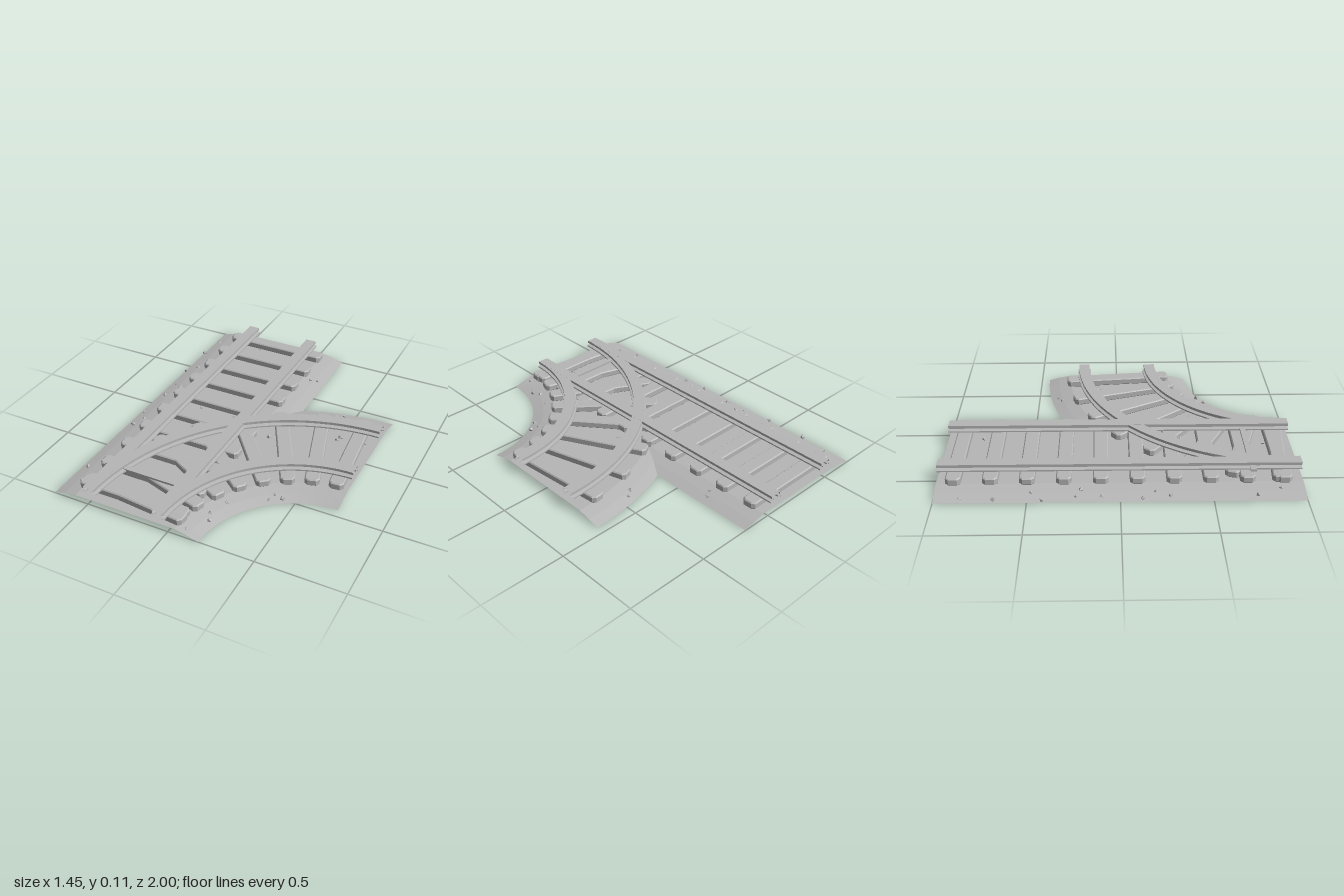
import * as THREE from 'three';

const BEND = { x: 0.73, z: 1, r: 1 };   // centre and radius of the branch curve
const AXIS = -0.27;                     // centre line of the straight track
const GAUGE = 0.215;                    // rail offset from the centre line

// Paths: s runs 0..1 along the track, t is the offset to the right
const straight = (s, t) => [AXIS + t, 1 - 2 * s];
const curved = (s, t) => {
  const a = (1 - s) * Math.PI / 2, r = BEND.r - t;
  return [BEND.x - r * Math.sin(a), BEND.z - r * Math.cos(a)];
};

// Sweeps a [offset, height] profile, creased across and smooth along the path
function sweep(profile, path, steps, shift = 0, lift = 0) {
  const pos = [], index = [];
  for (let p = 0; p < profile.length - 1; p++) {
    const base = pos.length / 3;
    for (let i = 0; i <= steps; i++) {
      for (const [t, y] of [profile[p], profile[p + 1]]) {
        const [x, z] = path(i / steps, t + shift);
        pos.push(x, y + lift, z);
      }
    }
    for (let i = 0; i < steps; i++) {
      const a = base + i * 2;
      index.push(a, a + 1, a + 3, a, a + 3, a + 2);
    }
  }
  const g = new THREE.BufferGeometry();
  g.setAttribute('position', new THREE.Float32BufferAttribute(pos, 3));
  g.setIndex(index);
  g.computeVertexNormals();
  return g;
}

// Sleeper: plan with clipped corners, bevelled top and bottom, lying along x
function sleeperGeometry() {
  const w = 0.325, d = 0.036, c = 0.014;
  const plan = new THREE.Shape([
    [-w + c, -d], [w - c, -d], [w, -d + c], [w, d - c],
    [w - c, d], [-w + c, d], [-w, d - c], [-w, -d + c],
  ].map(([x, y]) => new THREE.Vector2(x, y)));
  const g = new THREE.ExtrudeGeometry(plan, {
    depth: 0.03, bevelEnabled: true, bevelThickness: 0.006, bevelSize: 0.006, bevelSegments: 1,
  });
  return g.rotateX(-Math.PI / 2).translate(0, 0.04, 0);
}

const BED = [[-0.45, 0.002], [-0.385, 0.02], [-0.31, 0.035], [0.31, 0.035], [0.385, 0.02], [0.45, 0.002]];
const RAIL = [
  [-0.042, 0.076], [-0.042, 0.084], [-0.018, 0.088], [-0.018, 0.096], [-0.034, 0.1], [-0.034, 0.115],
  [0.034, 0.115], [0.034, 0.1], [0.018, 0.096], [0.018, 0.088], [0.042, 0.084], [0.042, 0.076], [-0.042, 0.076],
];

// Loose stones as [x, z]
const STONES = [
  [-0.69, -0.86], [-0.71, -0.68], [-0.65, -0.48], [-0.71, -0.42], [-0.68, -0.24], [-0.63, -0.21],
  [-0.68, -0.1], [-0.7, 0.12], [-0.65, 0.19], [-0.68, 0.27], [-0.68, 0.74], [-0.63, 0.87],
  [-0.37, -0.85], [-0.11, -0.79], [0.09, -0.66], [0.13, -0.68], [-0.38, -0.04], [0.13, 0.05],
  [-0.12, 0.36], [-0.18, 0.84], [0.09, 0.96], [0.16, 0.84], [0.14, 0.79], [0.18, 0.68],
  [0.38, 0.5], [0.43, 0.51], [0.37, 0.55], [0.5, -0.1], [0.66, -0.14], [0.51, -0.13],
  [0.4, -0.35], [0.44, -0.38],
];

// Height of the bed at distance d from a centre line
function bedHeight(d) {
  return 0.035 * THREE.MathUtils.clamp((0.45 - Math.abs(d)) / 0.14, 0, 1);
}

export function createModel() {
  const model = new THREE.Group();
  const grey = new THREE.MeshStandardMaterial({ color: 0xb6b6b6, side: THREE.DoubleSide });
  grey.name = 'plain grey';

  const add = (name, geometry, parent = model) => {
    const mesh = new THREE.Mesh(geometry, grey);
    mesh.name = name;
    parent.add(mesh);
    return mesh;
  };

  // Ballast beds and rails
  add('straightBed', sweep(BED, straight, 1));
  add('branchBed', sweep(BED, curved, 32, 0, -0.0006));
  for (const side of [-1, 1]) {
    const label = side < 0 ? 'Outer' : 'Inner';
    add('straightRail' + label, sweep(RAIL, straight, 1, side * GAUGE));
    add('branchRail' + label, sweep(RAIL, curved, 32, side * GAUGE, -0.0004));
  }

  // Sleepers
  const sleepers = new THREE.Group();
  sleepers.name = 'sleepers';
  model.add(sleepers);
  const sleeper = sleeperGeometry();
  for (let i = 0; i < 10; i++) {
    add('straightSleeper', sleeper, sleepers).position.set(AXIS, 0, -0.905 + i * 0.2);
  }
  for (let i = 0; i < 8; i++) {
    const s = (i + 0.5) / 8;
    const [x, z] = curved(s, 0);
    const m = add('branchSleeper', sleeper, sleepers);
    m.position.set(x, -0.0006, z);
    m.rotation.y = -s * Math.PI / 2;
  }

  // Rod that ties the moving rails together
  add('switchRod', new THREE.BoxGeometry(0.46, 0.012, 0.032)).position.set(-0.32, 0.084, 0.73);

  // Stones scattered over the bed
  const stones = new THREE.Group();
  stones.name = 'stones';
  model.add(stones);
  const stone = new THREE.OctahedronGeometry(1, 0);
  STONES.forEach(([x, z], i) => {
    const r = 0.012 + 0.004 * (i * 7 % 4) / 2;
    const onBranch = 1 - Math.hypot(x - BEND.x, z - BEND.z);
    const y = Math.max(bedHeight(x - AXIS), bedHeight(onBranch));
    const m = add('stone', stone, stones);
    m.scale.set(r, r * 0.8, r * 0.9);
    m.rotation.set(i * 1.3, i * 2.1, i * 0.7);
    m.position.set(x, Math.max(y + 0.003, r), z);
  });

  return model;
}
